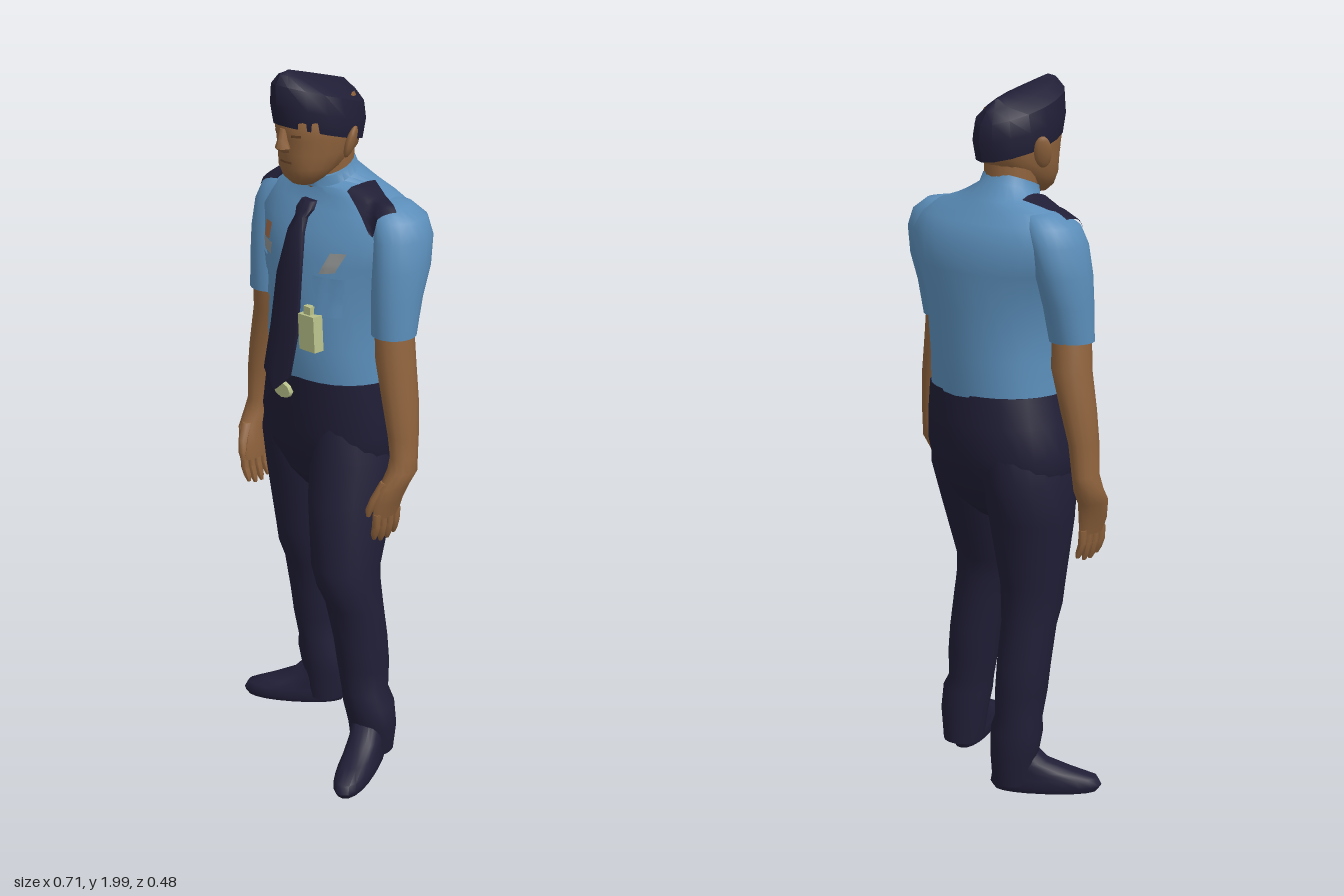
import * as THREE from 'three';
import { toCreasedNormals } from 'three/addons/utils/BufferGeometryUtils.js';

const paint = (name, color) => {
  const m = new THREE.MeshStandardMaterial({ color });
  m.name = name;
  return m;
};

// Stacked horizontal rings, listed upwards: [y, cx, cz, rx, rz, tilt]; power squares the rings off
function loft(rings, { seg = 20, power = 2, crease = 0.9 } = {}) {
  const pos = [], idx = [];
  const round = (v) => Math.sign(v) * Math.abs(v) ** (2 / power);
  for (const [y, cx, cz, rx, rz, tilt = 0] of rings) {
    for (let j = 0; j < seg; j++) {
      const a = (j / seg) * Math.PI * 2;
      const dz = rz * round(Math.cos(a));
      pos.push(cx + rx * round(Math.sin(a)), y + tilt * dz, cz + dz);
    }
  }
  for (let i = 0; i < rings.length - 1; i++) {
    for (let j = 0; j < seg; j++) {
      const a = i * seg + j, b = i * seg + (j + 1) % seg;
      idx.push(a, b, a + seg, b, b + seg, a + seg);
    }
  }
  // End caps
  const last = (rings.length - 1) * seg, low = rings.length * seg;
  for (const r of [rings[0], rings.at(-1)]) pos.push(r[1], r[0], r[2]);
  for (let j = 0; j < seg; j++) {
    const k = (j + 1) % seg;
    idx.push(low, k, j, low + 1, last + j, last + k);
  }
  const g = new THREE.BufferGeometry();
  g.setAttribute('position', new THREE.Float32BufferAttribute(pos, 3));
  g.setIndex(idx);
  return toCreasedNormals(g, crease);
}

// Thin patch laid on the targets; corners run counter-clockwise in (x, y) from the front or (x, z) from above
function drape(targets, corners, fromAbove = false, lift = 0.006, n = 8) {
  const g = new THREE.PlaneGeometry(1, 1, n, n);
  const p = g.attributes.position, ray = new THREE.Raycaster();
  const [a, b, c, d] = corners;
  const dir = fromAbove ? new THREE.Vector3(0, -1, 0) : new THREE.Vector3(0, 0, -1);
  let depth = fromAbove ? 1.65 : 0.1;
  for (let i = 0; i < p.count; i++) {
    const u = p.getX(i) + 0.5, v = p.getY(i) + 0.5;
    const [s, t] = [0, 1].map((k) => (1 - v) * ((1 - u) * a[k] + u * b[k]) + v * ((1 - u) * d[k] + u * c[k]));
    ray.set(fromAbove ? new THREE.Vector3(s, 3, t) : new THREE.Vector3(s, t, 3), dir);
    const hit = ray.intersectObjects(targets)[0];
    if (hit) depth = fromAbove ? hit.point.y : hit.point.z;
    if (fromAbove) p.setXYZ(i, s, depth + lift, t);
    else p.setXYZ(i, s, t, depth + lift);
  }
  g.computeVertexNormals();
  return g;
}

const rect = (x0, x1, y0, y1) => [[x0, y0], [x1, y0], [x1, y1], [x0, y1]];

export function createModel() {
  const model = new THREE.Group();
  model.name = 'uniformedOfficer';
  const shirt = paint('shirtBlue', 0x5b8eba), navy = paint('navyCloth', 0x201e36);
  const skin = paint('skin', 0x8e623c), darkSkin = paint('darkSkin', 0x6a4528);
  const tagMat = paint('paleTag', 0xb8c08a), grey = paint('greyPatch', 0x8e9190), copper = paint('copperBadge', 0xa06a48);
  const add = (name, geometry, material, parent = model) => {
    const m = new THREE.Mesh(geometry, material);
    m.name = name;
    parent.add(m);
    return m;
  };

  // Shirt body, with the collar rising at the back
  const torso = add('shirtBody', loft([
    [1.145, -0.005, -0.053, 0.205, 0.168], [1.26, -0.003, -0.05, 0.2, 0.178], [1.4, -0.003, -0.06, 0.205, 0.175],
    [1.5, -0.007, -0.07, 0.245, 0.17], [1.58, -0.01, -0.08, 0.272, 0.155], [1.63, -0.015, -0.082, 0.252, 0.122],
    [1.665, -0.02, -0.076, 0.205, 0.097], [1.685, -0.025, -0.072, 0.145, 0.088],
    [1.705, -0.035, -0.045, 0.085, 0.075, -0.35], [1.73, -0.035, -0.04, 0.078, 0.07, -0.35],
  ], { seg: 28, power: 2.15 }), shirt);

  // Arms: sleeve, forearm with palm, fingers and thumb
  const sleeves = [];
  for (const [side, label] of [[1, 'left'], [-1, 'right']]) {
    const right = side < 0;
    const place = ([y, x, z, ...rest]) => [
      right && y < 1 ? y - 0.03 : y, right ? -x - 0.015 : x, right && y < 1.3 ? z - 0.02 : z, ...rest];
    const arm = new THREE.Group();
    arm.name = label + 'Arm';
    model.add(arm);
    sleeves.push(add(label + 'Sleeve', loft([
      [1.32, 0.243, -0.03, 0.061, 0.062], [1.42, 0.241, -0.042, 0.063, 0.074], [1.5, 0.239, -0.058, 0.065, 0.088],
      [1.58, 0.232, -0.07, 0.063, 0.092], [1.63, 0.214, -0.074, 0.062, 0.082], [1.66, 0.185, -0.076, 0.05, 0.055],
      [1.668, 0.165, -0.076, 0.02, 0.025],
    ].map(place)), shirt, arm));
    add(label + 'Forearm', loft([
      [0.815, 0.283, 0.03, 0.015, 0.045], [0.86, 0.29, 0.028, 0.023, 0.05], [0.91, 0.302, 0.016, 0.031, 0.05],
      [0.95, 0.307, -0.008, 0.038, 0.045], [0.99, 0.304, -0.016, 0.033, 0.043], [1.05, 0.298, -0.018, 0.038, 0.047],
      [1.14, 0.281, -0.022, 0.046, 0.054], [1.25, 0.257, -0.025, 0.054, 0.057], [1.36, 0.243, -0.03, 0.052, 0.055],
    ].map(place), { seg: 14 }), skin, arm);
    for (let f = 0; f < 4; f++) {
      const drop = f === 0 || f === 3 ? 0.01 : 0;
      const z = 0.065 - f * 0.024;
      add(label + 'Finger', loft([
        [0.738 + drop, 0.272, z - 0.004, 0.005, 0.006], [0.755 + drop, 0.276, z - 0.002, 0.011, 0.011],
        [0.79, 0.284, z, 0.012, 0.012], [0.83, 0.287, z, 0.012, 0.012],
      ].map(place), { seg: 7 }), skin, arm);
    }
    add(label + 'Thumb', loft([
      [0.825, 0.272, 0.084, 0.006, 0.006], [0.845, 0.275, 0.082, 0.012, 0.011],
      [0.88, 0.285, 0.07, 0.014, 0.014], [0.925, 0.297, 0.045, 0.015, 0.015],
    ].map(place), { seg: 7 }), skin, arm);
  }
  model.updateMatrixWorld(true);

  // Shoulder straps
  const upper = [torso, ...sleeves];
  add('leftShoulderStrap', drape(upper, [[0.088, 0.0], [0.205, 0.022], [0.242, -0.035], [0.1, -0.09]], true, 0.009, 12), navy);
  add('rightShoulderStrap', drape(upper, [[-0.262, 0.005], [-0.14, -0.015], [-0.155, -0.115], [-0.275, -0.07]], true, 0.009, 12), navy);

  // Chest pockets, badge and patches
  for (const [x0, x1] of [[-0.185, -0.1], [0.07, 0.155]]) {
    add('pocket', drape([torso], rect(x0 + 0.006, x1 - 0.006, 1.36, 1.45)), shirt);
    add('pocketFlap', drape([torso], rect(x0, x1, 1.43, 1.47), false, 0.009), shirt);
  }
  add('rightChestPatch', drape([torso], rect(-0.175, -0.115, 1.478, 1.51)), grey);
  add('leftChestPatch', drape([torso], [[0.085, 1.475], [0.13, 1.485], [0.155, 1.54], [0.11, 1.535]]), grey);
  add('chestBadge', drape([torso], rect(-0.165, -0.13, 1.515, 1.56), false, 0.009), copper);

  // Tie with a free-hanging tip
  add('tie', loft([
    [1.13, -0.028, 0.161, 0.008, 0.004], [1.175, -0.026, 0.15, 0.054, 0.01], [1.3, -0.018, 0.129, 0.055, 0.012],
    [1.45, -0.014, 0.115, 0.048, 0.012], [1.57, -0.016, 0.087, 0.03, 0.013], [1.605, -0.017, 0.067, 0.021, 0.014],
    [1.625, -0.017, 0.054, 0.03, 0.016], [1.645, -0.018, 0.038, 0.025, 0.016],
  ], { seg: 10, power: 2.6 }), navy);

  // Hanging tag and belt buckle
  const tag = add('hangingTag', new THREE.BoxGeometry(0.062, 0.1, 0.032), tagMat);
  tag.position.set(0.075, 1.313, 0.117);
  tag.rotation.z = 0.06;
  const clip = add('tagClip', new THREE.BoxGeometry(0.026, 0.03, 0.02), tagMat);
  clip.position.set(0.068, 1.37, 0.115);
  const buckle = add('beltBuckle', new THREE.CylinderGeometry(0.034, 0.034, 0.02, 8), tagMat);
  buckle.rotation.x = Math.PI / 2;
  buckle.scale.z = 0.65;
  buckle.position.set(-0.035, 1.113, 0.118);

  // Trousers: hips, then a leg for each side in a relaxed stance
  add('trouserHips', loft([
    [0.795, -0.015, -0.04, 0.08, 0.07], [0.84, -0.02, -0.048, 0.17, 0.11], [0.92, -0.022, -0.055, 0.222, 0.152],
    [1.0, -0.022, -0.06, 0.229, 0.17], [1.08, -0.013, -0.057, 0.22, 0.17], [1.165, -0.004, -0.052, 0.206, 0.169],
  ], { seg: 28, power: 2.25 }), navy);
  add('leftTrouserLeg', loft([
    [0.03, 0.21, 0.0, 0.058, 0.062], [0.12, 0.212, 0.005, 0.074, 0.066], [0.19, 0.207, 0.015, 0.076, 0.072],
    [0.23, 0.194, 0.018, 0.066, 0.068], [0.31, 0.186, 0.018, 0.075, 0.074], [0.39, 0.178, 0.022, 0.077, 0.077],
    [0.5, 0.161, 0.032, 0.085, 0.08], [0.56, 0.152, 0.045, 0.088, 0.093], [0.62, 0.14, 0.045, 0.097, 0.099],
    [0.81, 0.107, -0.008, 0.112, 0.133], [0.93, 0.092, -0.045, 0.113, 0.148], [1.06, 0.085, -0.058, 0.09, 0.145],
  ]), navy);
  add('rightTrouserLeg', loft([
    [0.03, -0.11, -0.105, 0.058, 0.06], [0.12, -0.115, -0.105, 0.071, 0.067], [0.19, -0.12, -0.1, 0.077, 0.072],
    [0.23, -0.126, -0.098, 0.067, 0.068], [0.31, -0.13, -0.092, 0.074, 0.075], [0.39, -0.133, -0.085, 0.076, 0.077],
    [0.5, -0.135, -0.068, 0.079, 0.077], [0.56, -0.134, -0.055, 0.085, 0.088], [0.62, -0.134, -0.052, 0.09, 0.093],
    [0.81, -0.133, -0.055, 0.117, 0.122], [0.93, -0.134, -0.063, 0.117, 0.15], [1.06, -0.12, -0.06, 0.1, 0.145],
  ]), navy);

  // Shoes, toes turned out
  for (const [name, x, z, turn] of [['leftShoe', 0.26, 0.098, 0.5], ['rightShoe', -0.182, -0.045, -0.85]]) {
    const shoe = add(name, loft([
      [0.008, 0, 0, 0.046, 0.146], [0.025, 0, 0, 0.054, 0.158], [0.048, 0, -0.004, 0.051, 0.15],
      [0.068, 0, -0.032, 0.048, 0.116], [0.095, 0, -0.07, 0.048, 0.08], [0.14, 0, -0.09, 0.046, 0.055],
    ], { power: 2.2 }), navy);
    shoe.position.set(x, 0, z);
    shoe.rotation.y = turn;
  }

  // Neck and head
  const hx = -0.036;
  add('neck', loft([[1.65, hx, -0.05, 0.072, 0.065], [1.8, hx, -0.035, 0.073, 0.08]]), skin);
  const head = add('head', loft([
    [1.692, hx, 0.045, 0.034, 0.03], [1.71, hx, 0.04, 0.057, 0.053], [1.74, hx, 0.018, 0.075, 0.088],
    [1.78, hx, -0.008, 0.087, 0.115], [1.82, hx, -0.012, 0.091, 0.123], [1.87, hx, -0.01, 0.095, 0.13],
    [1.92, hx, -0.01, 0.075, 0.105],
  ], { power: 2.2 }), skin);
  add('nose', loft([
    [1.785, hx, 0.105, 0.012, 0.012], [1.798, hx, 0.112, 0.022, 0.025], [1.82, hx, 0.113, 0.014, 0.018],
    [1.85, hx, 0.112, 0.01, 0.01],
  ], { seg: 8 }), skin);
  model.updateMatrixWorld(true);
  add('mouth', drape([head], rect(hx - 0.022, hx + 0.022, 1.755, 1.761), false, 0.002), darkSkin);
  for (const s of [-1, 1]) {
    const x = hx + s * 0.04;
    add('eye', drape([head], rect(x - 0.012, x + 0.012, 1.83, 1.837), false, 0.002), darkSkin);
    const ear = add('ear', new THREE.SphereGeometry(1, 10, 8), skin);
    ear.scale.set(0.012, 0.045, 0.025);
    ear.position.set(hx + s * 0.107, 1.81, -0.028);
    ear.rotation.set(-0.15, s * 0.5, -s * 0.2);
  }

  // Folded cap, ridge running front to back
  add('cap', loft([
    [1.822, -0.038, -0.012, 0.1, 0.138, 0.28], [1.875, -0.038, -0.012, 0.107, 0.148, 0.28],
    [1.925, -0.04, -0.012, 0.094, 0.146, 0.3], [1.955, -0.042, -0.01, 0.053, 0.127, 0.3],
    [1.973, -0.045, -0.01, 0.008, 0.098, 0.28],
  ], { seg: 16, power: 1.85, crease: 0.6 }), navy);

  return model;
}
